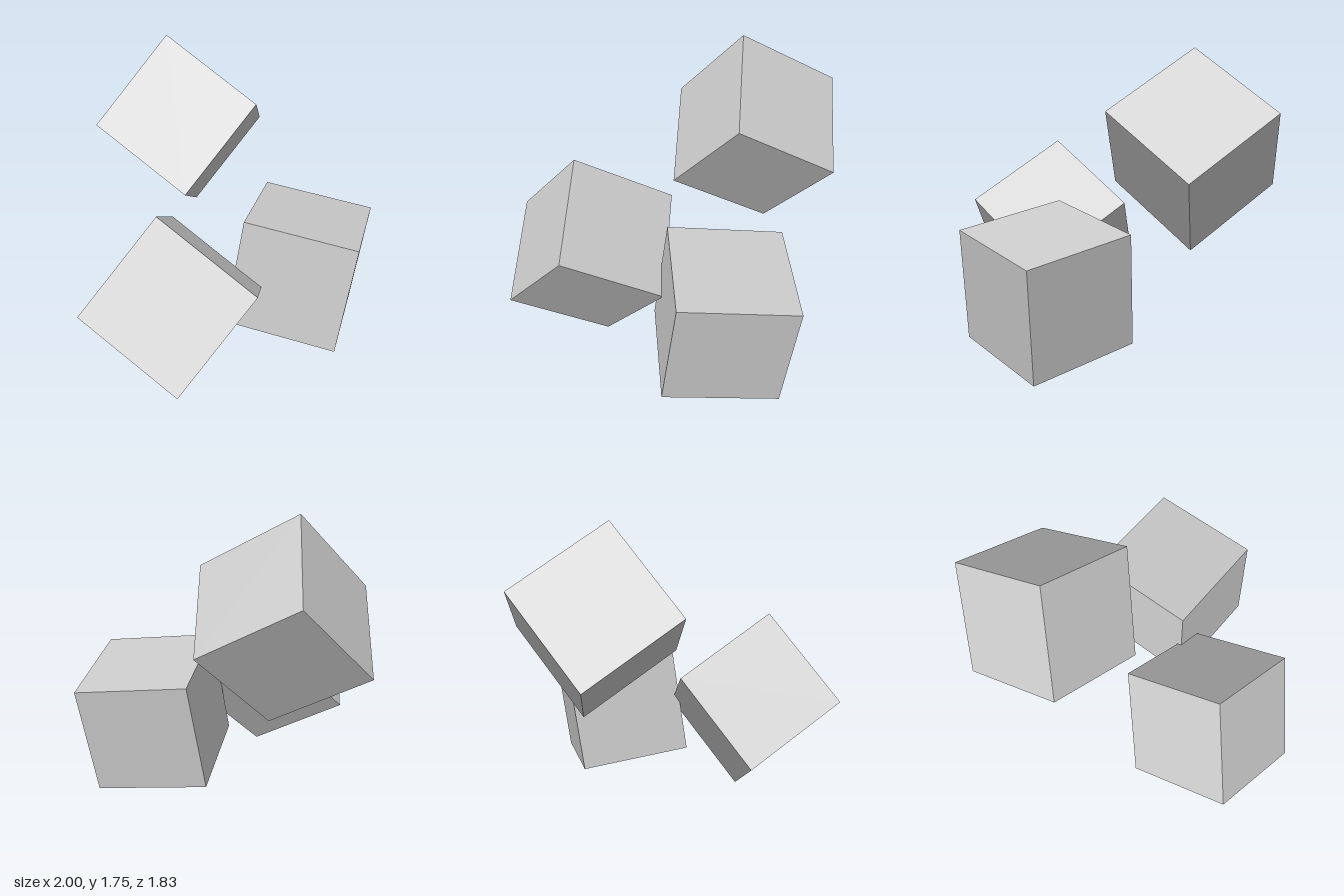
import * as THREE from 'three';

const EDGE = 0.665;
const rad = THREE.MathUtils.degToRad;

// One cube, turned about its own x and y first, then leaned about z
function cube(name, position, turnX, turnY, leanZ) {
  const mesh = new THREE.Mesh(
    new THREE.BoxGeometry(EDGE, EDGE, EDGE),
    new THREE.MeshStandardMaterial({ color: 0xcccccc, flatShading: true })
  );
  mesh.name = name;
  mesh.position.set(...position);
  mesh.rotation.set(rad(turnX), rad(turnY), rad(leanZ), 'ZYX');
  return mesh;
}

export function createModel() {
  const group = new THREE.Group();
  group.name = 'tumbledCubes';
  group.add(
    // two cubes share one tilt; the third leans slightly
    cube('upperCube', [0.097, 1.19, -0.445], 45, 0, 45),
    cube('rightCube', [-0.433, 0.571, 0.445], 45, 0, 45),
    cube('leftCube', [0.48, 0.462, 0.332], 0, 45, -10)
  );
  return group;
}
